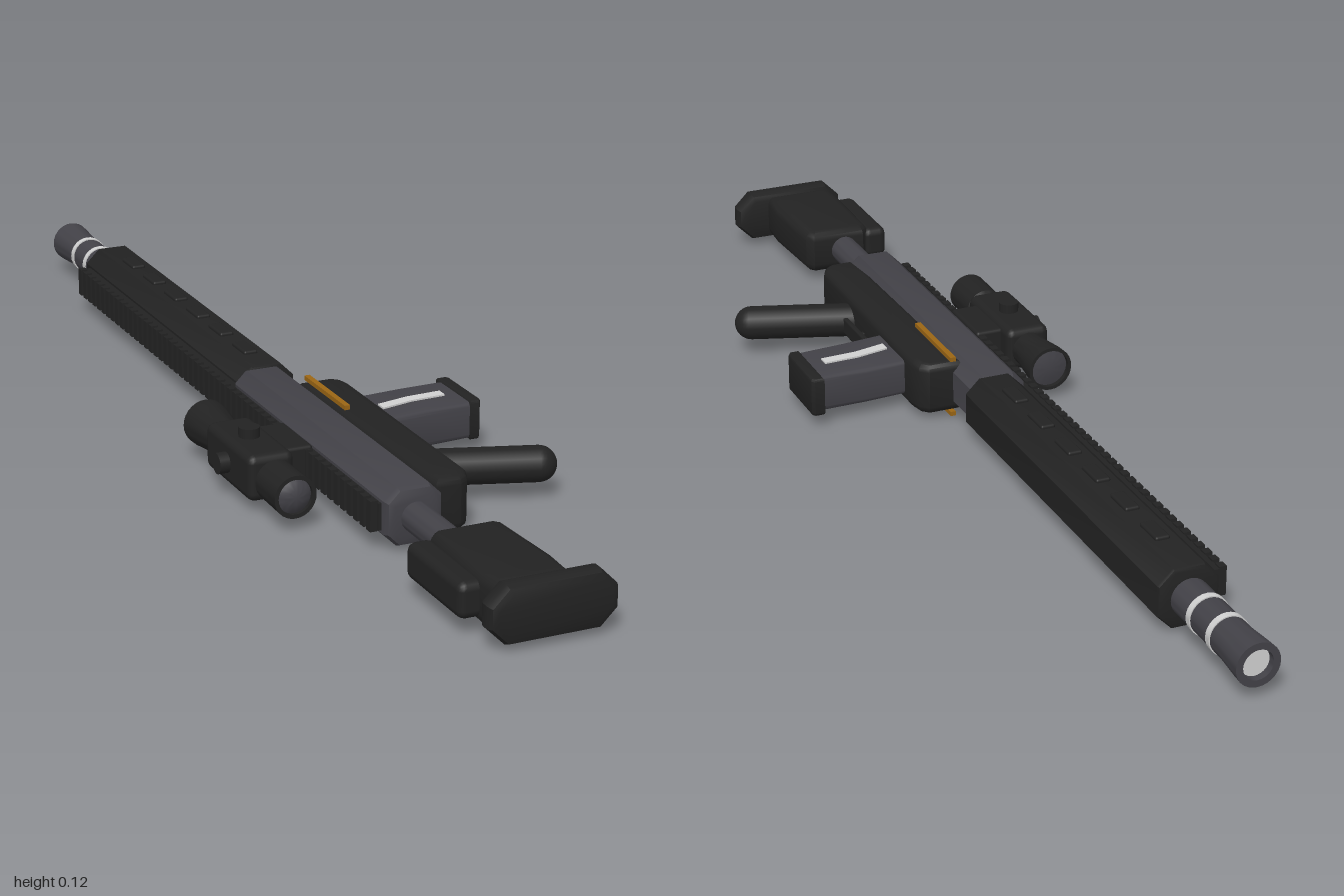
import * as THREE from 'three';
import { toCreasedNormals } from 'three/addons/utils/BufferGeometryUtils.js';
import { RoundedBoxGeometry } from 'three/addons/geometries/RoundedBoxGeometry.js';

const AXIS_X = -0.05, MID_Y = 0.06;

export function createModel() {
  const model = new THREE.Group();
  const mat = (name, color) => {
    const m = new THREE.MeshStandardMaterial({ color });
    m.name = name;
    return m;
  };
  const black = mat('black polymer', 0x222222);
  const grey = mat('gunmetal', 0x424147);
  const light = mat('light steel', 0xcfcfcf);
  const gold = mat('bronze', 0x9a6514);

  const add = (name, geo, material, parent = model) => {
    const mesh = new THREE.Mesh(geo, material);
    mesh.name = name;
    parent.add(mesh);
    return mesh;
  };
  // box from its limits, with rounded edges
  const block = (name, x0, x1, y0, y1, z0, z1, r, material) => {
    const geo = r ? new RoundedBoxGeometry(x1 - x0, y1 - y0, z1 - z0, 2, r)
      : new THREE.BoxGeometry(x1 - x0, y1 - y0, z1 - z0);
    geo.translate((x0 + x1) / 2, (y0 + y1) / 2, (z0 + z1) / 2);
    return add(name, geo, material);
  };
  // turned part along z from [radius, z] pairs in rising order
  const turned = (name, pts, x, material) => {
    const geo = new THREE.LatheGeometry(pts.map(p => new THREE.Vector2(...p)), 28);
    geo.rotateX(Math.PI / 2).translate(x, MID_Y, 0);
    return add(name, toCreasedNormals(geo, 0.6), material);
  };
  // outline in x and z, thick in y, with bevelled rims
  const slab = (name, pts, y0, y1, bevel, material) => {
    const shape = new THREE.Shape(pts.map(([x, z]) => new THREE.Vector2(x, -z)));
    const geo = new THREE.ExtrudeGeometry(shape, {
      depth: y1 - y0 - 2 * bevel, bevelEnabled: bevel > 0, bevelThickness: bevel,
      bevelSize: bevel, bevelOffset: -bevel, bevelSegments: 3,
    });
    geo.rotateX(-Math.PI / 2).translate(0, y0 + bevel, 0);
    return add(name, toCreasedNormals(geo, 0.6), material);
  };
  // chamfered cross-section run along z
  const beam = (name, x0, x1, y0, y1, c, z0, z1, bevel, material) => {
    const shape = new THREE.Shape([
      [x0 + c, y0], [x1 - c, y0], [x1, y0 + c], [x1, y1 - c],
      [x1 - c, y1], [x0 + c, y1], [x0, y1 - c], [x0, y0 + c],
    ].map(p => new THREE.Vector2(...p)));
    const geo = new THREE.ExtrudeGeometry(shape, {
      depth: z1 - z0 - 2 * bevel, bevelThickness: bevel, bevelSize: bevel,
      bevelOffset: -bevel, bevelSegments: 2,
    });
    geo.translate(0, 0, z0 + bevel);
    return add(name, toCreasedNormals(geo, 0.4), material);
  };

  // barrel with flared muzzle, bore and rings
  turned('barrel', [[0, -0.985], [0.026, -0.985], [0.026, -1], [0.038, -1], [0.037, -0.98],
    [0.033, -0.93], [0.033, -0.74]], AXIS_X, grey);
  turned('bore', [[0, -0.988], [0.025, -0.988], [0.025, -0.984]], AXIS_X, light);
  for (const z of [-0.9, -0.835]) {
    turned('muzzleRing', [[0.032, z - 0.006], [0.035, z - 0.006], [0.035, z + 0.006], [0.032, z + 0.006]],
      AXIS_X, light);
  }

  // handguard with raised side vents
  beam('handguard', -0.102, 0.004, 0.008, 0.113, 0.026, -0.775, -0.015, 0.006, black);
  for (let i = 0; i < 6; i++) {
    const z = -0.11 - i * 0.108;
    for (const y of [0.006, 0.114]) {
      block('vent', -0.063, -0.037, y - 0.005, y + 0.005, z - 0.03, z + 0.03, 0.004, black);
    }
  }

  // toothed accessory rail
  block('railBase', -0.115, -0.098, 0.037, 0.083, -0.75, 0.575, 0, black);
  for (let i = 0; i < 54; i++) {
    const z = -0.742 + i * 0.0246;
    block('railTooth', -0.127, -0.114, 0.034, 0.086, z - 0.0075, z + 0.0075, 0, black);
  }

  // receiver and lower housing
  beam('receiver', -0.11, -0.01, 0.01, 0.11, 0.022, -0.025, 0.597, 0.014, grey);
  slab('lowerReceiver', [[-0.03, 0.07], [0.035, 0.07], [0.05, 0.085], [0.055, 0.11],
    [0.055, 0.545], [0.045, 0.567], [0.03, 0.577], [-0.015, 0.577], [-0.022, 0.5]],
  0.012, 0.108, 0.014, black);
  for (const y of [0.007, 0.113]) {
    block('ejectionStrip', -0.015, -0.005, y - 0.004, y + 0.004, 0.07, 0.235, 0, gold);
  }

  // magazine with base plate and side strips
  slab('magazine', [[0.04, 0.14], [0.13, 0.133], [0.222, 0.131], [0.222, 0.25], [0.13, 0.257],
    [0.04, 0.267]], 0.027, 0.093, 0.008, grey);
  slab('magazineBase', [[0.214, 0.121], [0.232, 0.121], [0.237, 0.127], [0.237, 0.243],
    [0.232, 0.251], [0.214, 0.251]], 0.024, 0.096, 0.005, black);
  for (const y of [0.026, 0.094]) {
    slab('roundsWindow', [[0.065, 0.198], [0.125, 0.185], [0.19, 0.182], [0.19, 0.202],
      [0.125, 0.205], [0.065, 0.219]], y - 0.002, y + 0.002, 0, light);
  }

  // trigger guard, trigger and slanted grip
  block('triggerGuard', 0.064, 0.074, 0.045, 0.075, 0.275, 0.41, 0.003, black);
  block('guardFront', 0.04, 0.074, 0.045, 0.075, 0.275, 0.284, 0.003, black);
  block('trigger', 0.04, 0.066, 0.054, 0.066, 0.335, 0.345, 0.003, black);
  const from = new THREE.Vector3(0.035, MID_Y, 0.41), to = new THREE.Vector3(0.226, MID_Y, 0.474);
  const grip = add('grip', new THREE.CapsuleGeometry(0.031, from.distanceTo(to), 8, 20), black);
  grip.position.lerpVectors(from, to, 0.5);
  grip.quaternion.setFromUnitVectors(new THREE.Vector3(0, 1, 0), to.clone().sub(from).normalize());

  // stock
  turned('bufferTube', [[0.026, 0.58], [0.026, 0.76]], -0.06, grey);
  slab('stock', [[-0.1, 0.737], [0.002, 0.737], [0.014, 0.752], [0.022, 0.9], [0.018, 0.965],
    [-0.11, 0.965], [-0.118, 0.92], [-0.114, 0.752]], 0.018, 0.102, 0.018, black);
  block('cheekRest', -0.151, -0.105, 0.03, 0.09, 0.74, 0.925, 0.014, black);
  beam('buttPad', -0.137, 0.08, 0.012, 0.108, 0.03, 0.957, 1, 0.014, black);

  // scope with housing, lenses, turrets and mount
  const SX = -0.2;
  turned('scopeObjective', [[0, 0.08], [0.035, 0.08], [0.035, 0.07], [0.041, 0.07], [0.04, 0.09],
    [0.032, 0.15], [0.032, 0.18]], SX, black);
  turned('objectiveLens', [[0, 0.073], [0.02, 0.075], [0.035, 0.079]], SX, grey);
  block('scopeHousing', SX - 0.041, SX + 0.041, 0.02, 0.1, 0.165, 0.352, 0.014, black);
  turned('scopeEyepiece', [[0.028, 0.34], [0.028, 0.36], [0.036, 0.365], [0.037, 0.445],
    [0.03, 0.445], [0.03, 0.435], [0, 0.435]], SX, black);
  turned('eyepieceLens', [[0.031, 0.437], [0.024, 0.443], [0.013, 0.448], [0, 0.45]], SX, grey);
  const turret = new THREE.CylinderGeometry(0.018, 0.018, 0.03, 20);
  add('sideTurret', turret, black).position.set(SX, 0.102, 0.257);
  const topTurret = add('topTurret', turret, black);
  topTurret.rotation.z = Math.PI / 2;
  topTurret.position.set(-0.244, MID_Y, 0.257);
  block('scopeMount', -0.165, -0.112, 0.028, 0.092, 0.2, 0.32, 0.006, black);

  return model;
}
